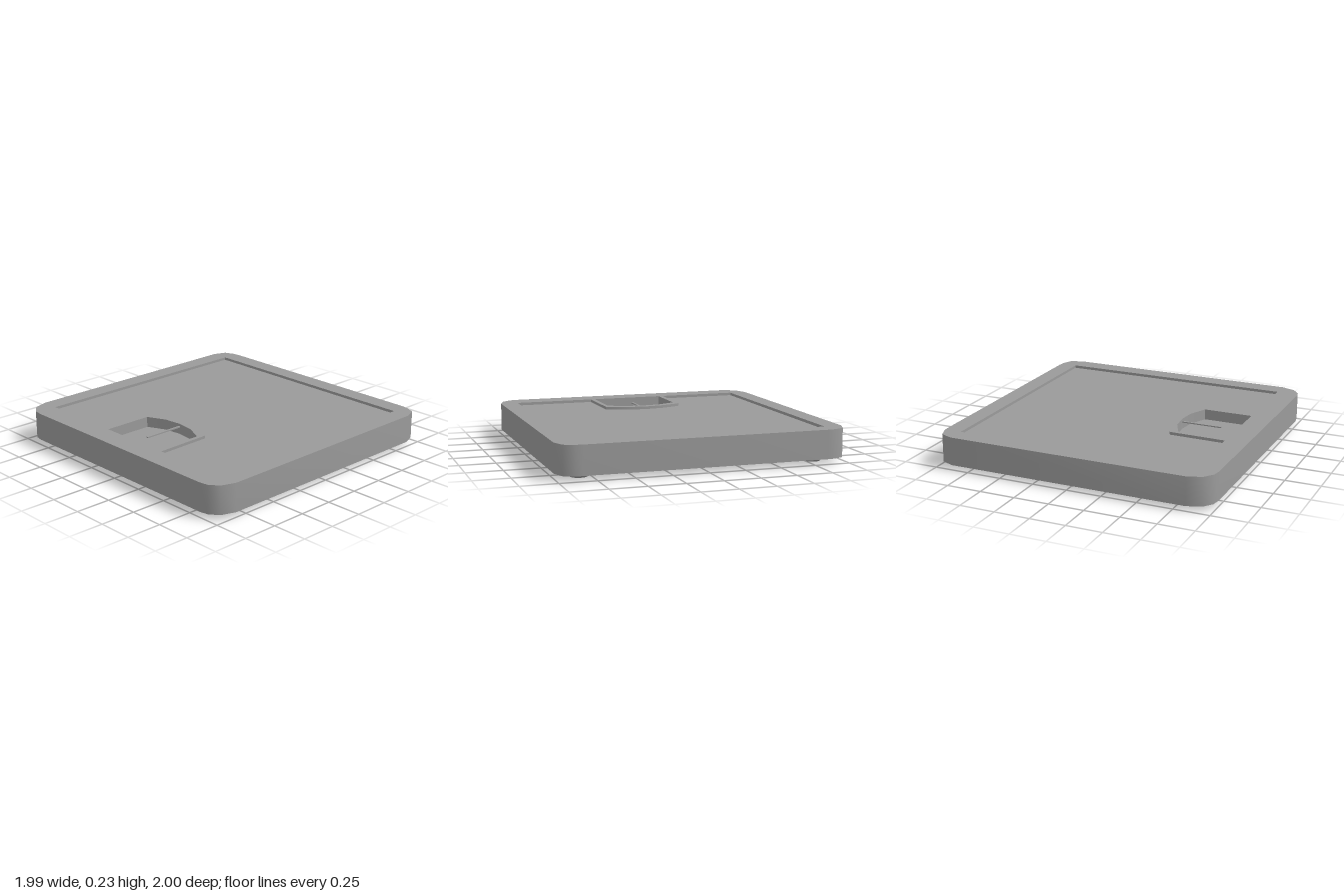
import * as THREE from 'three';
import { toCreasedNormals } from 'three/addons/utils/BufferGeometryUtils.js';

const material = new THREE.MeshStandardMaterial({ color: 0x9a9a9a });

// Heights of the underside, the dial floor, the panel and the border
const BOTTOM = 0.035, DIAL = 0.16, PANEL = 0.215, TOP = 0.235;

// Half outlines (positive side); each is mirrored into a closed loop
const mirrored = (half) => [
  ...half,
  ...half.filter(([, y]) => y !== 0).reverse().map(([x, y]) => [x, -y]),
].map(([x, y]) => new THREE.Vector2(x, y));

const outline = mirrored([
  [0.995, 0.84], [0.99, 0.89], [0.96, 0.965], [0.87, 1],
  [-0.835, 1], [-0.935, 0.965], [-0.985, 0.9], [-0.995, 0.84],
]);
const windowOutline = mirrored([
  [-0.41, 0], [-0.425, 0.13], [-0.485, 0.26], [-0.835, 0.26],
]);
// Sunken panel, wrapping around the raised frame of the window
const panelOutline = mirrored([
  [-0.356, 0], [-0.376, 0.14], [-0.415, 0.25], [-0.435, 0.287],
  [-0.835, 0.295], [-0.835, 0.873], [0.87, 0.873],
]);

function addMesh(parent, name, geometry) {
  const mesh = new THREE.Mesh(geometry, material);
  mesh.name = name;
  parent.add(mesh);
  return mesh;
}

// Upright block from the underside to a height, with optional holes
function block(loop, top, holes = []) {
  const shape = new THREE.Shape(loop);
  holes.forEach((h) => shape.holes.push(new THREE.Path(h)));
  const geo = new THREE.ExtrudeGeometry(shape, { depth: top - BOTTOM, bevelEnabled: false });
  geo.rotateX(-Math.PI / 2);
  geo.translate(0, BOTTOM, 0);
  return toCreasedNormals(geo, 0.95);
}

export function createModel() {
  const model = new THREE.Group();
  model.name = 'weighingScale';

  // Housing: border with window frame, sunken panel, dial floor, underside
  addMesh(model, 'border', block(outline, TOP, [windowOutline, panelOutline]));
  addMesh(model, 'panel', block(panelOutline, PANEL));
  addMesh(model, 'dial', block(windowOutline, DIAL));
  const underside = new THREE.ShapeGeometry(new THREE.Shape(outline));
  underside.rotateX(Math.PI / 2);
  addMesh(model, 'underside', underside).position.y = BOTTOM - 0.001;

  // Thin pointer reaching from the curved wall over the dial
  const pointer = addMesh(model, 'pointer', new THREE.BoxGeometry(0.3, 0.008, 0.015));
  pointer.position.set(-0.555, 0.214, 0);

  // Rounded, tapered feet
  const profile = [[0, 0], [0.057, 0], [0.075, 0.017], [0.088, BOTTOM + 0.002]]
    .map(([r, y]) => new THREE.Vector2(r, y));
  const footGeo = new THREE.LatheGeometry(profile, 12);
  for (const x of [-0.79, 0.825]) {
    for (const z of [-0.805, 0.83]) {
      addMesh(model, 'foot', footGeo).position.set(x, 0, z);
    }
  }
  return model;
}
